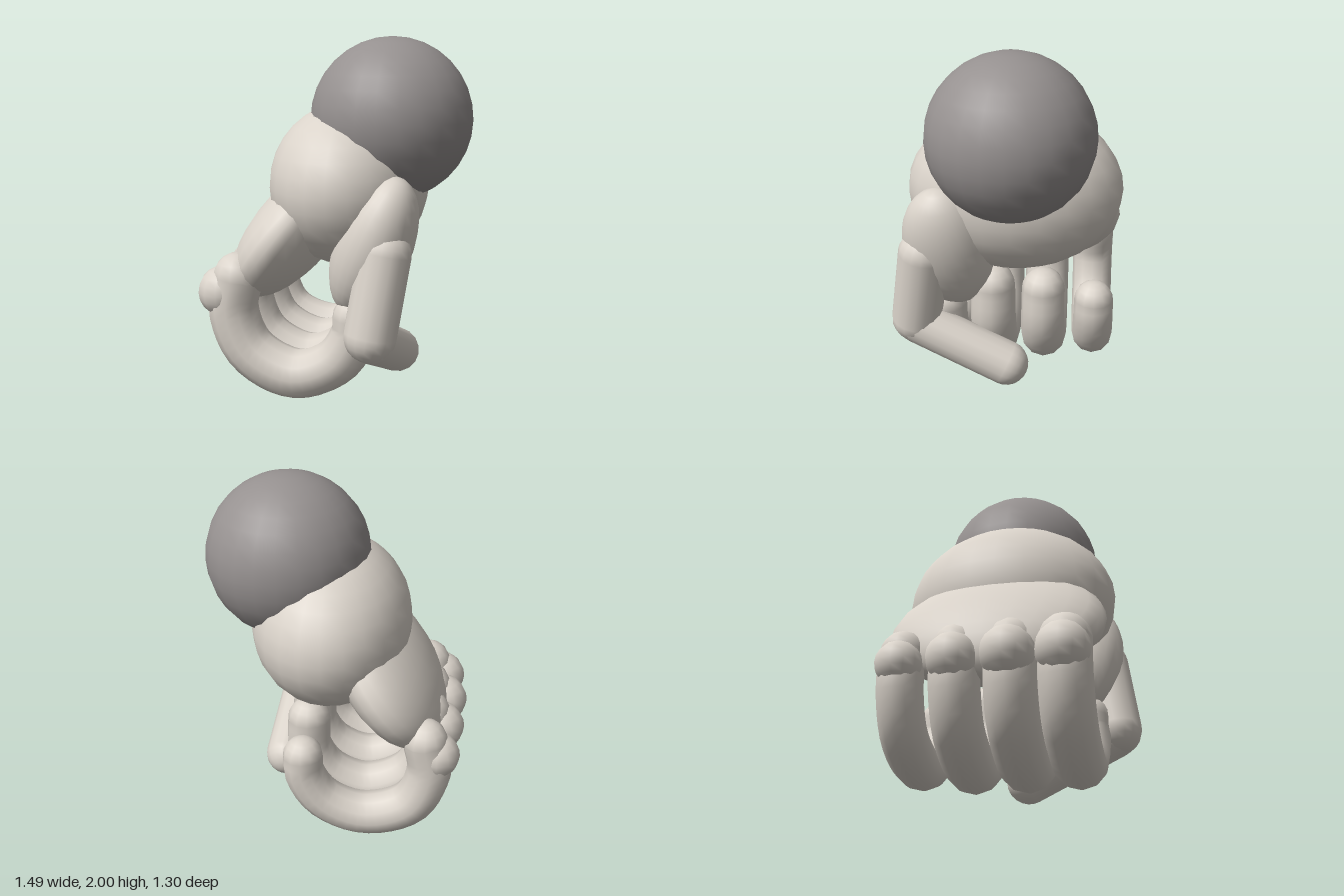
import * as THREE from 'three';

const Y = new THREE.Vector3(0, 1, 0);
const V = (x, y, z) => new THREE.Vector3(x, y, z);

// Tube that narrows smoothly from radius r to r * endScale
function taperedTube(path, r, endScale, rings = 24, sides = 12) {
  const geometry = new THREE.TubeGeometry(path, rings, r, sides);
  const pos = geometry.attributes.position;
  const p = new THREE.Vector3();
  for (let i = 0; i < pos.count; i++) {
    const t = Math.floor(i / (sides + 1)) / rings;
    const center = path.getPointAt(t);
    const k = 1 + (endScale - 1) * Math.max(0, t * 2 - 1);
    p.fromBufferAttribute(pos, i).sub(center).multiplyScalar(k).add(center);
    pos.setXYZ(i, p.x, p.y, p.z);
  }
  return geometry;
}

export function createModel() {
  const group = new THREE.Group();
  const skin = new THREE.MeshStandardMaterial({ color: 0xdad3ca });
  skin.name = 'pale skin';
  const cuffGrey = new THREE.MeshStandardMaterial({ color: 0x969190 });
  cuffGrey.name = 'cuff grey';

  const add = (name, geometry, material = skin, parent = group) => {
    const mesh = new THREE.Mesh(geometry, material);
    mesh.name = name;
    parent.add(mesh);
    return mesh;
  };

  // Ellipsoid whose local y axis points along dir
  const ellipsoid = (name, center, radii, dir = Y, material = skin) => {
    const mesh = add(name, new THREE.SphereGeometry(1, 24, 16), material);
    mesh.position.copy(center);
    mesh.scale.copy(radii);
    mesh.quaternion.setFromUnitVectors(Y, dir.clone().normalize());
  };

  // Small round joint
  const ball = (name, center, r, parent) =>
    add(name, new THREE.SphereGeometry(r, 12, 10), skin, parent).position.copy(center);

  // Rounded limb between two joint centres
  const limb = (name, a, b, radius) => {
    const dir = b.clone().sub(a);
    const mesh = add(name, new THREE.CapsuleGeometry(radius, dir.length(), 6, 16));
    mesh.position.copy(a).add(b).multiplyScalar(0.5);
    mesh.quaternion.setFromUnitVectors(Y, dir.normalize());
  };

  // Cuff, palm and back of the hand
  ellipsoid('cuff', V(0.28, 1.545, -0.03), V(0.455, 0.455, 0.46), Y, cuffGrey);
  ellipsoid('palm', V(0.04, 1.175, -0.04), V(0.45, 0.465, 0.605));
  ellipsoid('handBack', V(-0.29, 0.88, -0.05), V(0.23, 0.47, 0.6), V(0.6, 0.78, 0));

  // Four curled fingers: z, radius, bottom height, tip height, knuckle x
  const fingers = [
    ['indexFinger', 0.36, 0.142, 0, 0.49, -0.595],
    ['middleFinger', 0.08, 0.142, 0, 0.615, -0.605],
    ['ringFinger', -0.21, 0.137, 0.01, 0.6, -0.59],
    ['littleFinger', -0.5, 0.124, 0.045, 0.54, -0.575],
  ];
  const tipScale = 0.9;
  for (const [name, z, r, bottom, tip, kx] of fingers) {
    const finger = new THREE.Group();
    finger.name = name;
    group.add(finger);
    const low = bottom + r;
    const path = new THREE.CatmullRomCurve3([
      V(-0.51, 0.68, z), V(-0.54, 0.49, z), V(-0.44, 0.26, z), V(-0.18, low, z),
      V(0.05, low + 0.09, z), V(0.155, low + 0.26, z), V(0.16, tip, z),
    ]);
    add('fingerCurl', taperedTube(path, r, tipScale), skin, finger);
    ball('fingerRoot', V(-0.51, 0.68, z), r, finger);
    ball('fingertip', V(0.16, tip, z), r * tipScale, finger);
    ball('knuckle', V(kx, 0.595, z), r + 0.003, finger);
  }

  // Thumb folded across the fingers
  ellipsoid('thumbBase', V(0.25, 0.885, 0.32), V(0.21, 0.415, 0.25), V(0.28, 0.72, 0.09));
  limb('thumbMiddle', V(0.335, 0.88, 0.445), V(0.272, 0.445, 0.51), 0.143);
  limb('thumbTip', V(0.28, 0.42, 0.5), V(0.33, 0.195, -0.01), 0.127);

  return group;
}
